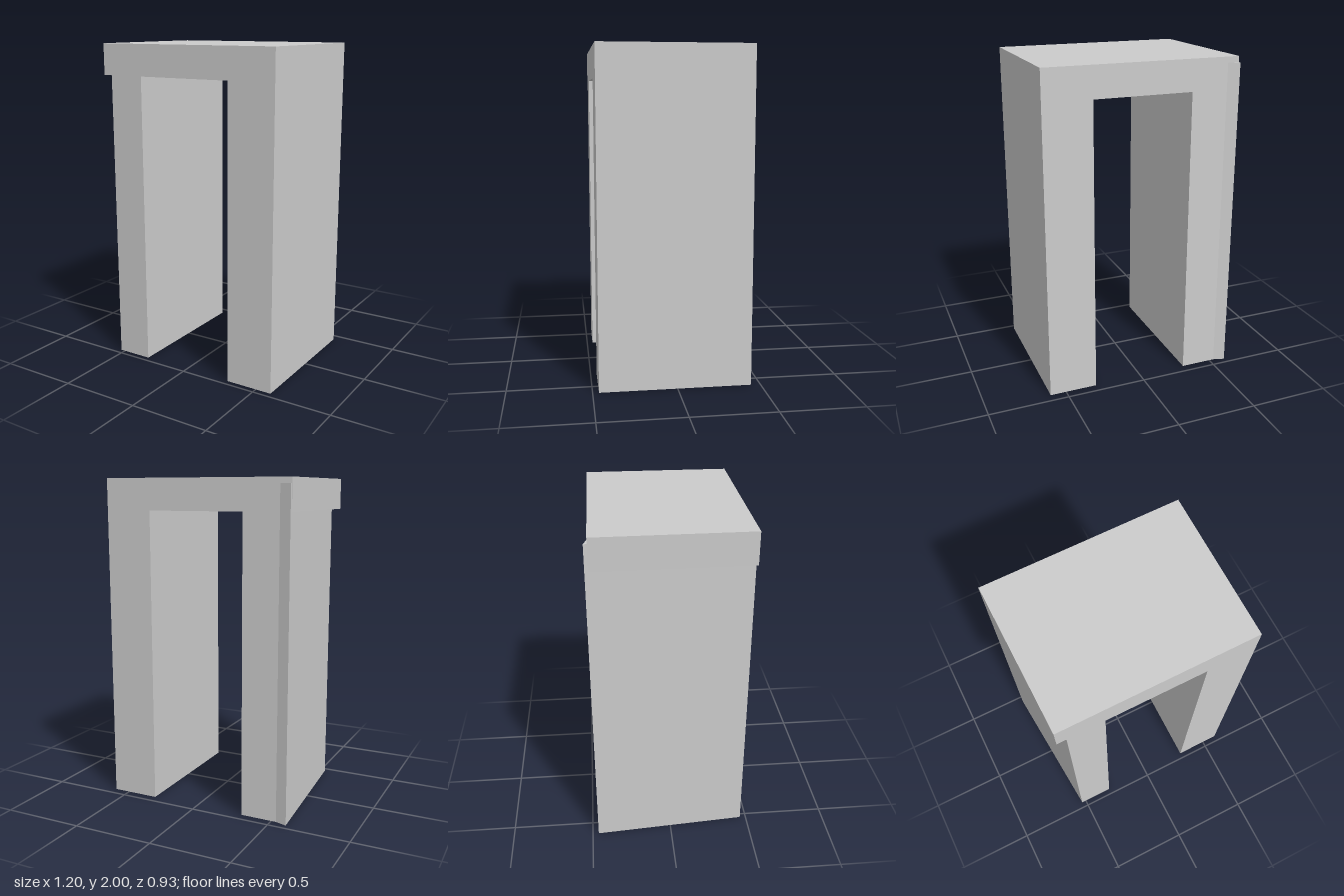
import * as THREE from 'three';

const FRONT = 0.463, BACK = -0.443;

export function createModel() {
  const group = new THREE.Group();
  const material = new THREE.MeshStandardMaterial({ color: 0xcccccc, flatShading: true });

  const add = (name, geometry) => {
    const mesh = new THREE.Mesh(geometry, material);
    mesh.name = name;
    group.add(mesh);
  };
  const outline = (points) => new THREE.Shape(points.map(([x, y]) => new THREE.Vector2(x, y)));

  // Arch: two legs and a lintel that overhangs the right leg
  const arch = new THREE.ExtrudeGeometry(outline([
    [0.6, 0], [0.6, 2], [-0.587, 2], [-0.587, 1.81], [-0.53, 1.81], [-0.53, 0],
    [-0.305, 0], [-0.305, 1.81], [0.303, 1.81], [0.303, 0],
  ]), { depth: FRONT - BACK, bevelEnabled: false });
  arch.translate(0, 0, BACK);

  // Outer right side splays outward toward the back
  const pos = arch.attributes.position;
  for (let i = 0; i < pos.count; i++) {
    if (pos.getZ(i) > 0) continue;
    const x = pos.getX(i);
    if (x < -0.58) pos.setX(i, -0.6);
    else if (x < -0.5) pos.setX(i, -0.5985);
  }
  arch.computeVertexNormals();
  add('arch', arch);

  // Thin wedge on the back corner of the splayed leg
  const wedge = new THREE.ExtrudeGeometry(
    outline([[-0.53, -BACK], [-0.6, 0.463], [-0.5985, -BACK]]),
    { depth: 1.965, bevelEnabled: false });
  wedge.rotateX(-Math.PI / 2);
  add('backCornerWedge', wedge);

  return group;
}
